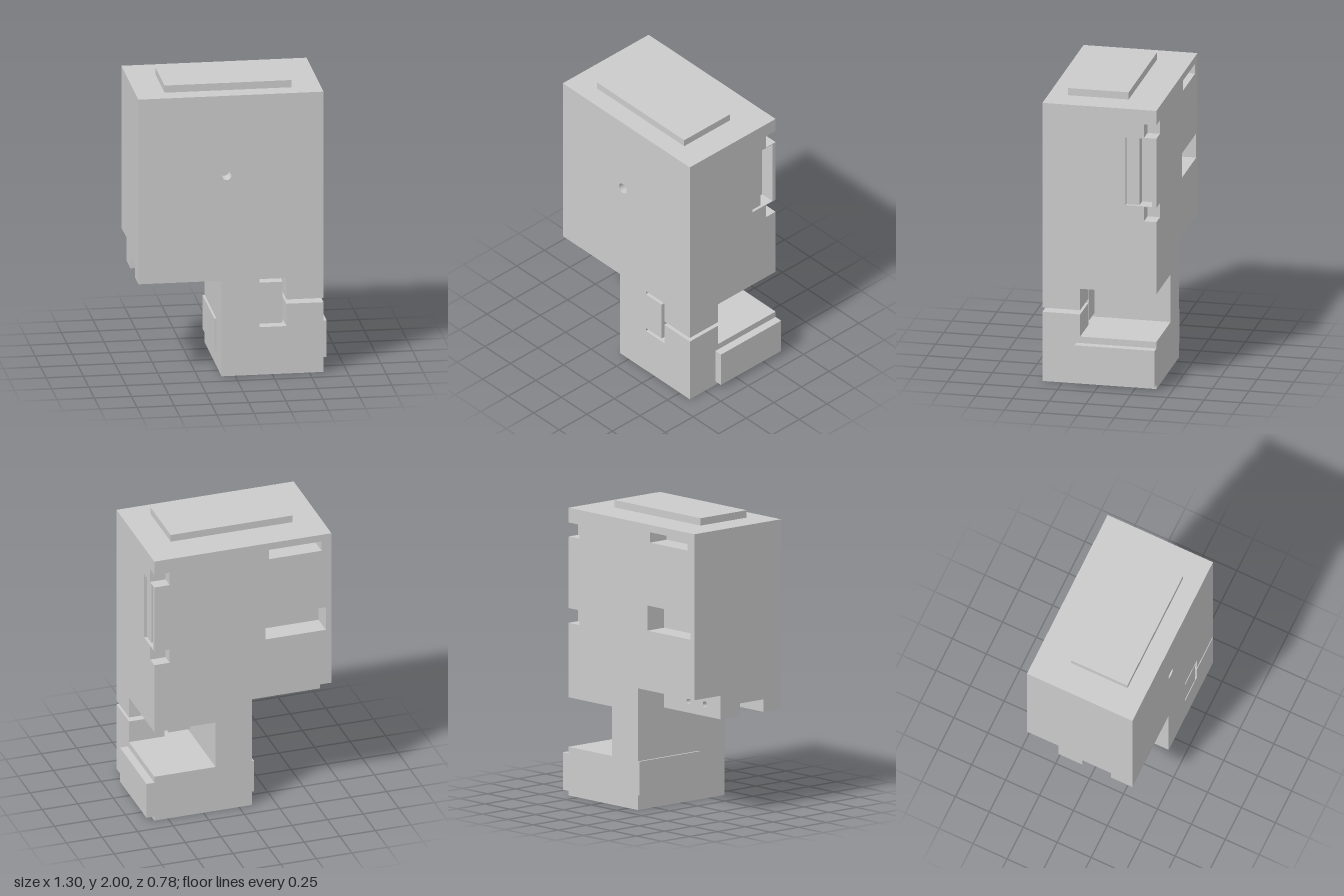
import * as THREE from 'three';

const material = new THREE.MeshStandardMaterial({ color: 0xcccccc, flatShading: true });
const RIGHT = 0.595;

function box(name, x0, x1, y0, y1, z0, z1) {
  const mesh = new THREE.Mesh(new THREE.BoxGeometry(x1 - x0, y1 - y0, z1 - z0), material);
  mesh.position.set((x0 + x1) / 2, (y0 + y1) / 2, (z0 + z1) / 2);
  mesh.name = name;
  return mesh;
}

function rectHole(x0, x1, y0, y1) {
  return new THREE.Path([[x0, y0], [x0, y1], [x1, y1], [x1, y0]].map(p => new THREE.Vector2(...p)));
}

function roundHole(x, y, r) {
  return new THREE.Path().absarc(x, y, r, 0, Math.PI * 2, true);
}

// Front outline of the housing at depth z
function sectionAt(z) {
  const pts = [[-0.09, 0], [RIGHT, 0]];

  // Latch tongue and slits at the front, open bay behind them
  if (z > 0.13) {
    pts.push([RIGHT, 0.485], [0.345, 0.485], [0.345, 0.33], [0.165, 0.33],
      [0.165, 0.355], [0.32, 0.355], [0.32, 0.64], [0.165, 0.64],
      [0.165, 0.665], [0.345, 0.665], [0.345, 0.515], [RIGHT, 0.515]);
  } else {
    pts.push([RIGHT, 0.33], [0.165, 0.33], [0.165, 0.665], [RIGHT, 0.665]);
  }

  // Corner notches and stepped recess in the side wall
  const notch = (y0, y1, d) => pts.push([RIGHT, y0], [RIGHT - d, y0], [RIGHT - d, y1], [RIGHT, y1]);
  if (z < -0.305) notch(1.17, 1.27, 0.108);
  if (z > -0.36 && z < -0.27) notch(1.275, 1.75, 0.1);
  if (z > -0.27 && z < -0.18) notch(1.275, 1.75, 0.02);
  if (z < -0.305) notch(1.755, 1.85, 0.108);

  // Top, then the stepped underside of the overhang
  const under = z < -0.157 ? 0.825 : z > 0.02 && z < 0.23 ? 0.75 : 0.665;
  pts.push([RIGHT, 1.95], [-0.65, 1.95], [-0.65, under], [-0.09, under]);

  const shape = new THREE.Shape(pts.map(p => new THREE.Vector2(...p)));

  // Rear sockets, pin holes in the rib, round hole in the front
  if (z < -0.24) shape.holes.push(rectHole(-0.58, -0.21, 1.83, 1.9), rectHole(-0.61, -0.186, 1.23, 1.4));
  if (z > -0.157 && z < -0.1) shape.holes.push(roundHole(-0.337, 0.745, 0.02), roundHole(-0.497, 0.745, 0.02));
  if (z > 0.285) shape.holes.push(roundHole(-0.06, 1.4, 0.037));
  return shape;
}

export function createModel() {
  const model = new THREE.Group();

  // Housing, stacked from front to back wherever the outline changes
  const housing = new THREE.Group();
  housing.name = 'housing';
  const cuts = [-0.39, -0.36, -0.305, -0.27, -0.24, -0.18, -0.157, -0.1, 0.02, 0.13, 0.23, 0.285, 0.387];
  for (let i = 0; i < cuts.length - 1; i++) {
    const [z0, z1] = [cuts[i], cuts[i + 1]];
    const geometry = new THREE.ExtrudeGeometry(sectionAt((z0 + z1) / 2),
      { depth: z1 - z0, bevelEnabled: false, curveSegments: 24 });
    geometry.translate(0, 0, z0);
    const slab = new THREE.Mesh(geometry, material);
    slab.name = 'housingSection' + (i + 1);
    housing.add(slab);
  }
  model.add(housing);

  // Raised panels
  model.add(
    box('topPanel', -0.455, 0.4, 1.95, 2, -0.157, 0.257),
    box('leftFootPanel', RIGHT, 0.65, 0.03, 0.285, -0.39, 0.155),
    box('rightFootPanel', -0.105, -0.09, 0.1, 0.33, -0.39, 0.15),
  );
  return model;
}
